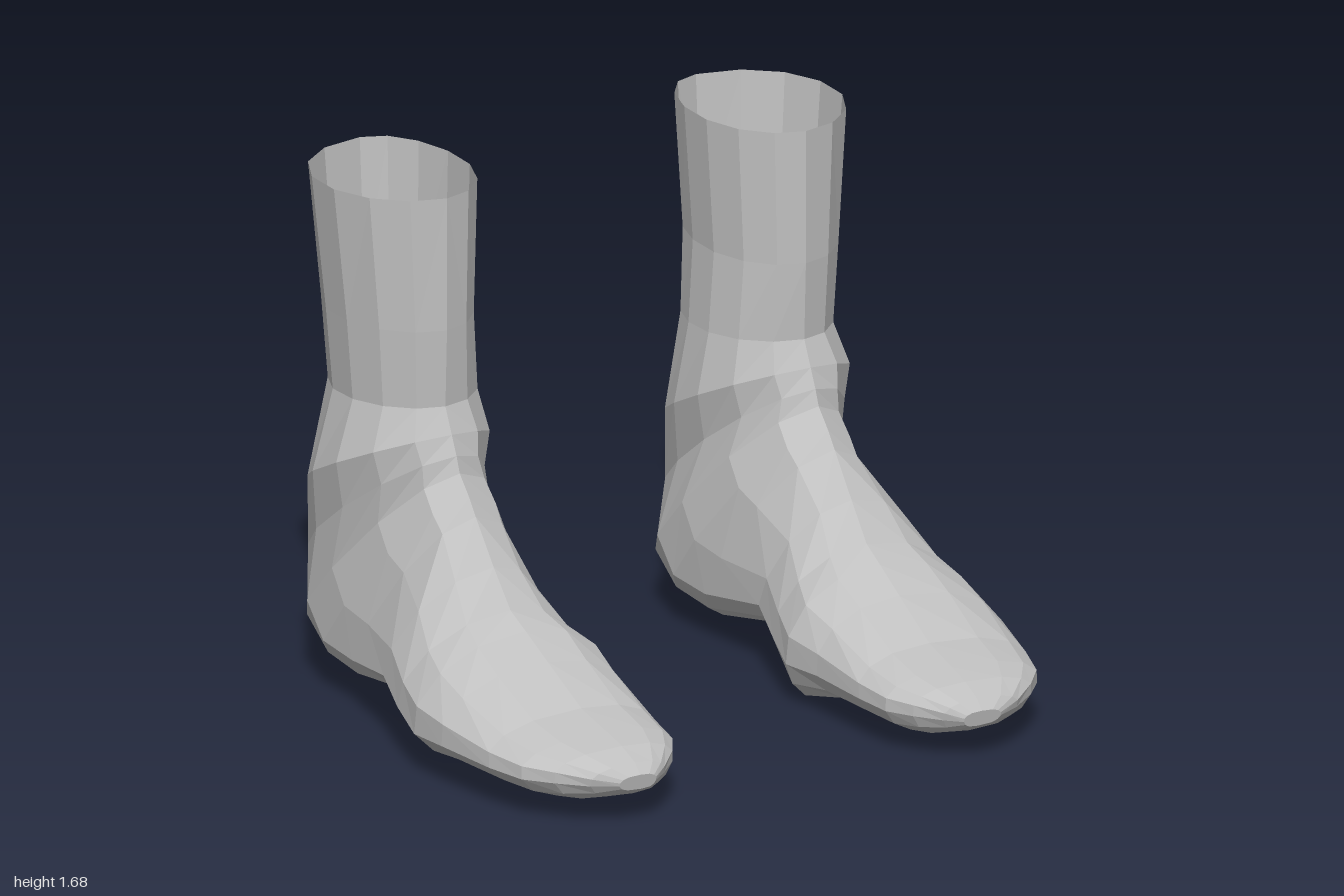
import * as THREE from 'three';

const SEG = 14;

// Cross-sections from the cuff, fanning round the heel, then on to the toe:
// front z, y,  back z, y,  inner x, outer x,  how far back it is widest (0 to 1)
const SECTIONS = [
  [-0.24, 1.68, -0.86, 1.68, 0.41, 0.90, 0.50],
  [-0.24, 1.25, -0.83, 1.25, 0.43, 0.86, 0.50],
  [-0.25, 1.00, -0.81, 0.98, 0.41, 0.84, 0.50],
  [-0.21, 0.92, -0.87, 0.60, 0.37, 0.90, 0.50],
  [-0.18, 0.86, -0.92, 0.32, 0.40, 0.87, 0.52],
  [-0.16, 0.81, -0.85, 0.12, 0.36, 0.87, 0.72],
  [-0.10, 0.75, -0.68, 0.06, 0.35, 0.88, 0.78],
  [-0.06, 0.70, -0.50, 0.04, 0.37, 0.87, 0.76],
  [0.05, 0.57, -0.16, 0.12, 0.39, 0.93, 0.72],
  [0.15, 0.46, 0.00, 0.06, 0.35, 0.97, 0.64],
  [0.24, 0.42, 0.18, 0.00, 0.31, 1.00, 0.58],
  [0.37, 0.36, 0.35, 0.04, 0.33, 0.99, 0.58],
  [0.57, 0.27, 0.60, 0.05, 0.35, 0.95, 0.48],
  [0.72, 0.24, 0.72, 0.05, 0.37, 0.91, 0.42],
  [0.81, 0.22, 0.80, 0.06, 0.42, 0.84, 0.38],
  [0.89, 0.19, 0.86, 0.08, 0.49, 0.75, 0.38],
  [0.92, 0.16, 0.91, 0.11, 0.54, 0.67, 0.45],
];

// Points round one cross-section, starting at the front ridge
function sectionPoints([fz, fy, bz, by, inner, outer, wide], side) {
  const { clamp, lerp } = THREE.MathUtils;
  const toeward = clamp(fz / 0.9, 0, 1);
  const topPower = lerp(1.05, 0.7, toeward); // the top flattens towards the toe
  const solePower = by < 0.2 ? lerp(0.8, 0.6, toeward) : 0.95; // the sole is flatter than the leg
  const ridgeX = lerp(0.63, 0.6, toeward);
  const soleX = 0.59 - 0.11 * Math.exp(-(((bz - 0.18) / 0.15) ** 2)); // ball of the foot
  const points = [];
  for (let i = 0; i < SEG; i++) {
    const angle = (i / SEG) * Math.PI * 2;
    const c = Math.cos(angle), sn = Math.sin(angle);
    const s = c > 0 ? wide * (1 - c) : wide - (1 - wide) * c;
    const mid = lerp(ridgeX, soleX, s);
    const reach = Math.abs(sn) ** (c > 0 ? topPower : solePower);
    const x = lerp(mid, sn > 0 ? outer : inner, reach);
    points.push(side * x, lerp(fy, by, s), lerp(fz, bz, s));
  }
  return points;
}

// Skin the cross-sections into one open-topped shell with a closed toe
function footGeometry(side) {
  const positions = SECTIONS.flatMap((section) => sectionPoints(section, side));
  const index = [];
  const tri = (a, b, c) => (side > 0 ? index.push(a, b, c) : index.push(a, c, b));
  for (let r = 0; r < SECTIONS.length - 1; r++) {
    for (let i = 0; i < SEG; i++) {
      const a = r * SEG + i, b = r * SEG + ((i + 1) % SEG);
      const c = a + SEG, d = b + SEG;
      if (i < SEG / 2) {
        tri(a, c, d);
        tri(a, d, b);
      } else {
        tri(a, c, b);
        tri(b, c, d);
      }
    }
  }
  // Toe cap
  const last = (SECTIONS.length - 1) * SEG;
  for (let i = 1; i < SEG - 1; i++) tri(last, last + i + 1, last + i);

  const geometry = new THREE.BufferGeometry();
  geometry.setAttribute('position', new THREE.Float32BufferAttribute(positions, 3));
  geometry.setIndex(index);
  geometry.computeVertexNormals();
  return geometry;
}

export function createModel() {
  const model = new THREE.Group();
  model.name = 'pairOfFeet';
  const grey = new THREE.MeshStandardMaterial({ color: 0xc0c0c0, flatShading: true, side: THREE.DoubleSide });
  grey.name = 'plain grey';

  for (const side of [1, -1]) {
    const foot = new THREE.Mesh(footGeometry(side), grey);
    foot.name = side > 0 ? 'leftFoot' : 'rightFoot';
    model.add(foot);
  }
  return model;
}
